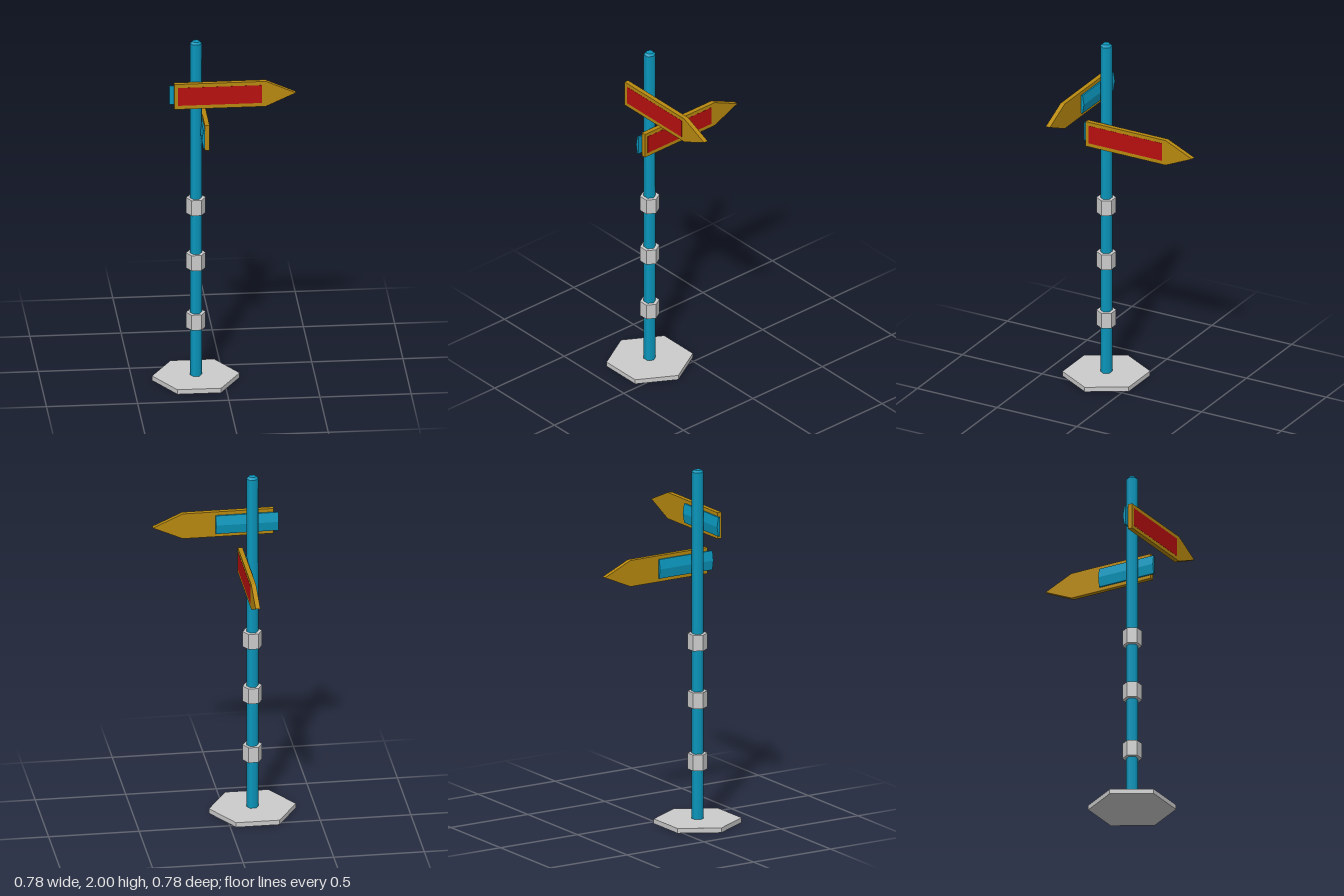
import * as THREE from 'three';

const grey = new THREE.MeshStandardMaterial({ color: 0xcccccc, flatShading: true });
const teal = new THREE.MeshStandardMaterial({ color: 0x0a98be });
const tealFlat = new THREE.MeshStandardMaterial({ color: 0x0a98be, flatShading: true });
const gold = new THREE.MeshStandardMaterial({ color: 0xb8890f, flatShading: true });
const red = new THREE.MeshStandardMaterial({ color: 0xb80f0f });

function add(parent, name, geometry, material, x = 0, y = 0, z = 0) {
  const mesh = new THREE.Mesh(geometry, material);
  mesh.name = name;
  mesh.position.set(x, y, z);
  parent.add(mesh);
  return mesh;
}

// Six-sided prism with two corners on the x axis
const hexPrism = (radius, height) =>
  new THREE.CylinderGeometry(radius, radius, height, 6).rotateY(Math.PI / 2);

function extrude(points, depth) {
  const shape = new THREE.Shape(points.map(([x, y]) => new THREE.Vector2(x, y)));
  return new THREE.ExtrudeGeometry(shape, { depth, bevelEnabled: false });
}

// Arrow sign: butt end at x = 0, pointing +x, rear face on z = 0
function makeSign(name) {
  const sign = new THREE.Group();
  sign.name = name;
  const h = 0.074;
  const arrow = [[0, -h], [0.502, -h], [0.667, 0], [0.502, h], [0, h]];
  add(sign, 'arrowBoard', extrude(arrow, 0.026), gold);
  add(sign, 'redPanel', new THREE.BoxGeometry(0.46, 0.105, 0.004), red, 0.25, 0, 0.0248);

  // Ridged mounting bracket running along the back
  const ridge = [[0, -0.054], [0.009, -0.054], [0.018, 0], [0.009, 0.054], [0, 0.054]];
  const bracket = extrude(ridge, 0.346).rotateY(Math.PI / 2);
  add(sign, 'bracket', bracket, tealFlat, -0.025, 0, -0.0005);
  return sign;
}

export function createModel() {
  const model = new THREE.Group();
  model.name = 'signpost';

  // Everything is laid out around the pole axis
  const post = new THREE.Group();
  post.name = 'post';
  post.position.set(-0.152, 0, 0.183);
  model.add(post);

  add(post, 'base', hexPrism(0.24, 0.027), grey, 0, 0.0135, 0);

  // Pole with a slightly chamfered top
  add(post, 'pole', hexPrism(0.033, 1.963), teal, 0, 1.0065, 0);
  const cap = new THREE.CylinderGeometry(0.022, 0.033, 0.012, 6).rotateY(Math.PI / 2);
  add(post, 'poleCap', cap, teal, 0, 1.994, 0);

  // Collars
  for (const y of [0.352, 0.704, 1.03]) {
    add(post, 'collar', hexPrism(0.054, 0.09), grey, 0, y, 0);
  }

  // Upper sign points left, lower sign points back
  const upper = makeSign('upperSign');
  upper.position.set(-0.125, 1.704, 0.048);
  const lower = makeSign('lowerSign');
  lower.rotation.y = Math.PI / 2;
  lower.position.set(0.041, 1.463, 0.092);
  post.add(upper, lower);

  return model;
}
